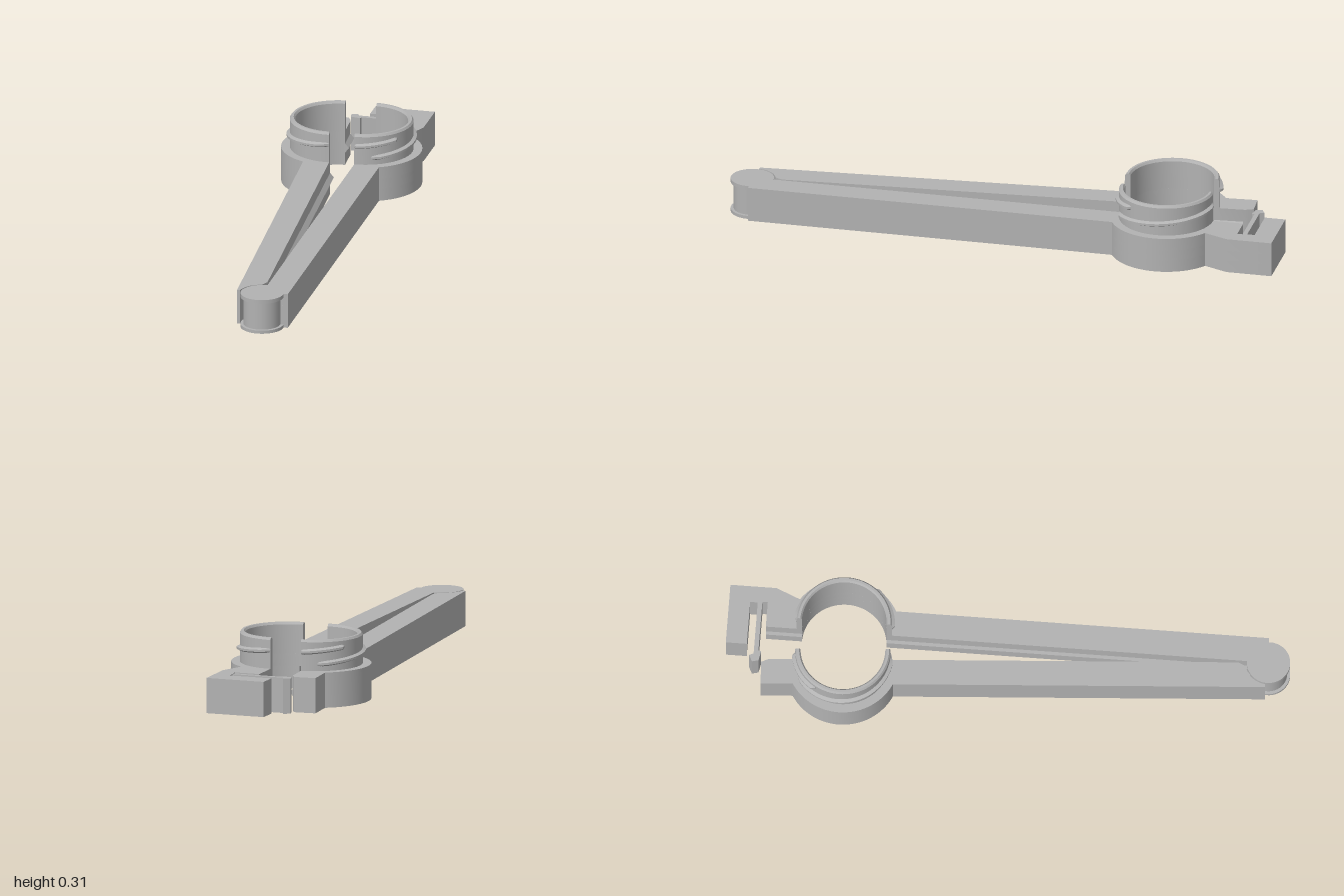
import * as THREE from 'three';
import { toCreasedNormals } from 'three/addons/utils/BufferGeometryUtils.js';
import { ConvexGeometry } from 'three/addons/geometries/ConvexGeometry.js';

const PIVOT = [-0.905, 0.866];
const HEIGHT = 0.165, WIDTH = 0.12, RING_U = 1.96, RING_R = 0.26, BORE_R = 0.195;
const rad = THREE.MathUtils.degToRad;

// Each half has its own frame: u runs from the hinge to the tip, v points outwards.
function makeHalf(degrees, side) {
  const a = rad(degrees), c = Math.cos(a), s = Math.sin(a);
  const at = (u, v) => [PIVOT[0] + u * c + side * v * s, PIVOT[1] - u * s + side * v * c];
  return { at, center: at(RING_U, 0), outward: Math.atan2(side * s, side * c) };
}

// Points of an arc in (u, v)
function arc(cu, r, from, to, n = 40) {
  return Array.from({ length: n + 1 }, (_, i) => {
    const t = from + (to - from) * i / n;
    return [cu + r * Math.cos(t), r * Math.sin(t)];
  });
}

// Upright slab from a (u, v) outline
function slab(half, outline, y0, y1) {
  const shape = new THREE.Shape(outline.map(([u, v]) => {
    const [x, z] = half.at(u, v);
    return new THREE.Vector2(x, -z);
  }));
  const g = new THREE.ExtrudeGeometry(shape, { depth: y1 - y0, bevelEnabled: false });
  g.rotateX(-Math.PI / 2).translate(0, y0, 0);
  return toCreasedNormals(g, 0.4);
}

// Sweeps a closed (radius, y) section around the ring centre, with capped ends
function sweep(half, from, to, section, n = 48) {
  const pos = [], idx = [], m = section(0, 0).length;
  for (let i = 0; i <= n; i++) {
    const phi = from + (to - from) * i / n, t = half.outward + phi;
    for (const [r, y] of section(phi, i / n)) {
      pos.push(half.center[0] + r * Math.sin(t), y, half.center[1] + r * Math.cos(t));
    }
  }
  for (let i = 0; i < n; i++) {
    for (let j = 0; j < m; j++) {
      const a = i * m + j, b = i * m + (j + 1) % m;
      idx.push(a, a + m, b, b, a + m, b + m);
    }
  }
  for (let j = 1; j < m - 1; j++) {
    idx.push(0, j, j + 1, n * m, n * m + j + 1, n * m + j);
  }
  const g = new THREE.BufferGeometry();
  g.setAttribute('position', new THREE.Float32BufferAttribute(pos, 3));
  g.setIndex(idx);
  return toCreasedNormals(g, 0.4);
}

export function createModel() {
  const plastic = new THREE.MeshStandardMaterial({ color: 0xb2b2b2 });
  plastic.name = 'grey plastic';
  const model = new THREE.Group();
  model.name = 'pouringClip';
  const add = (name, geometry, parent = model) => {
    const mesh = new THREE.Mesh(geometry, plastic);
    mesh.name = name;
    parent.add(mesh);
    return mesh;
  };

  const ridgeHalf = makeHalf(48.9, -1), latchHalf = makeHalf(45, 1);
  const meet = Math.asin(WIDTH / RING_R);

  // Arm with the socket, half ring and plain tip
  const ridgeArm = new THREE.Group();
  ridgeArm.name = 'ridgeArm';
  model.add(ridgeArm);
  add('ridgeArmBody', slab(ridgeHalf, [
    [0.14, 0],
    ...arc(0, 0.106, rad(10), rad(82), 16),
    [0.016, WIDTH],
    ...arc(RING_U, RING_R, Math.PI - meet, meet),
    [2.338, WIDTH], [2.338, 0.015], [2.3, 0],
    ...arc(RING_U, BORE_R, 0, Math.PI),
  ], 0, HEIGHT), ridgeArm);

  // Sealing ridge along the inner face
  for (const [name, u0, u1] of [['armRidge', 0.15, 1.765], ['tipRidge', 2.155, 2.29]]) {
    const points = [];
    for (const u of [u0, u1]) {
      for (const [v, y] of [[0.002, 0.058], [0.002, 0.107], [-0.018, 0.083]]) {
        const [x, z] = ridgeHalf.at(u, v);
        points.push(new THREE.Vector3(x, y, z));
      }
    }
    add(name, new ConvexGeometry(points), ridgeArm);
  }

  // Arm with the half ring, hook and latch; the middle layer leaves the sealing groove
  const latchArm = new THREE.Group();
  latchArm.name = 'latchArm';
  model.add(latchArm);
  const latchOutline = (inset) => {
    const a = Math.asin(inset / BORE_R);
    return [
      [0, inset], [0.008, WIDTH],
      ...arc(RING_U, RING_R, Math.PI - meet, rad(34)),
      [2.287, 0.192], [2.5, 0.192], [2.5, -0.091], [2.403, -0.091], [2.403, 0.115],
      // latch tongue with barb
      [2.368, 0.115], [2.368, -0.135], [2.388, -0.144], [2.373, -0.175],
      [2.343, -0.167], [2.334, -0.122], [2.347, -0.118], [2.347, 0.12],
      [2.322, 0.12], [2.322, inset],
      ...arc(RING_U, BORE_R, a, Math.PI - a),
    ];
  };
  add('latchArmBottom', slab(latchHalf, latchOutline(0), 0, 0.058), latchArm);
  add('latchArmGroove', slab(latchHalf, latchOutline(0.016), 0.058, 0.107), latchArm);
  add('latchArmTop', slab(latchHalf, latchOutline(0), 0.107, HEIGHT), latchArm);

  // Hinge pin with a rim at the top and bottom
  const hinge = new THREE.Group();
  hinge.name = 'hinge';
  hinge.position.set(PIVOT[0], 0, PIVOT[1]);
  model.add(hinge);
  for (const [name, r, y0, y1] of [
    ['hingeCore', 0.086, 0.01, 0.155],
    ['hingeBottomRim', 0.1, 0, 0.015],
    ['hingeTopRim', 0.1, 0.147, HEIGHT],
  ]) {
    add(name, new THREE.CylinderGeometry(r, r, y1 - y0, 48), hinge).position.y = (y0 + y1) / 2;
  }

  // Half spout and its two screw threads on each arm
  const threadY = (phi, start) => start + 0.125 * (phi + rad(45)) / (2 * Math.PI);
  const thread = (start) => (phi, t) => {
    const y = threadY(phi, start), tip = 0.219 + 0.016 * Math.min(1, 0.1 + t * 12, 0.1 + (1 - t) * 12);
    return [[0.215, y - 0.015], [tip, y - 0.005], [tip, y + 0.005], [0.215, y + 0.015]];
  };
  const collar = () => [
    [BORE_R, HEIGHT - 0.005], [0.22, HEIGHT - 0.005], [0.22, 0.3], [0.213, 0.31],
    [0.202, 0.31], [BORE_R, 0.3],
  ];
  for (const [half, arm] of [[ridgeHalf, ridgeArm], [latchHalf, latchArm]]) {
    add('spout', sweep(half, -Math.PI / 2, Math.PI / 2, collar), arm);
    add('longThread', sweep(half, rad(-70), rad(90), thread(0.205)), arm);
    add('shortThread', sweep(half, rad(-90), rad(-35), thread(0.2675)), arm);
  }
  return model;
}
